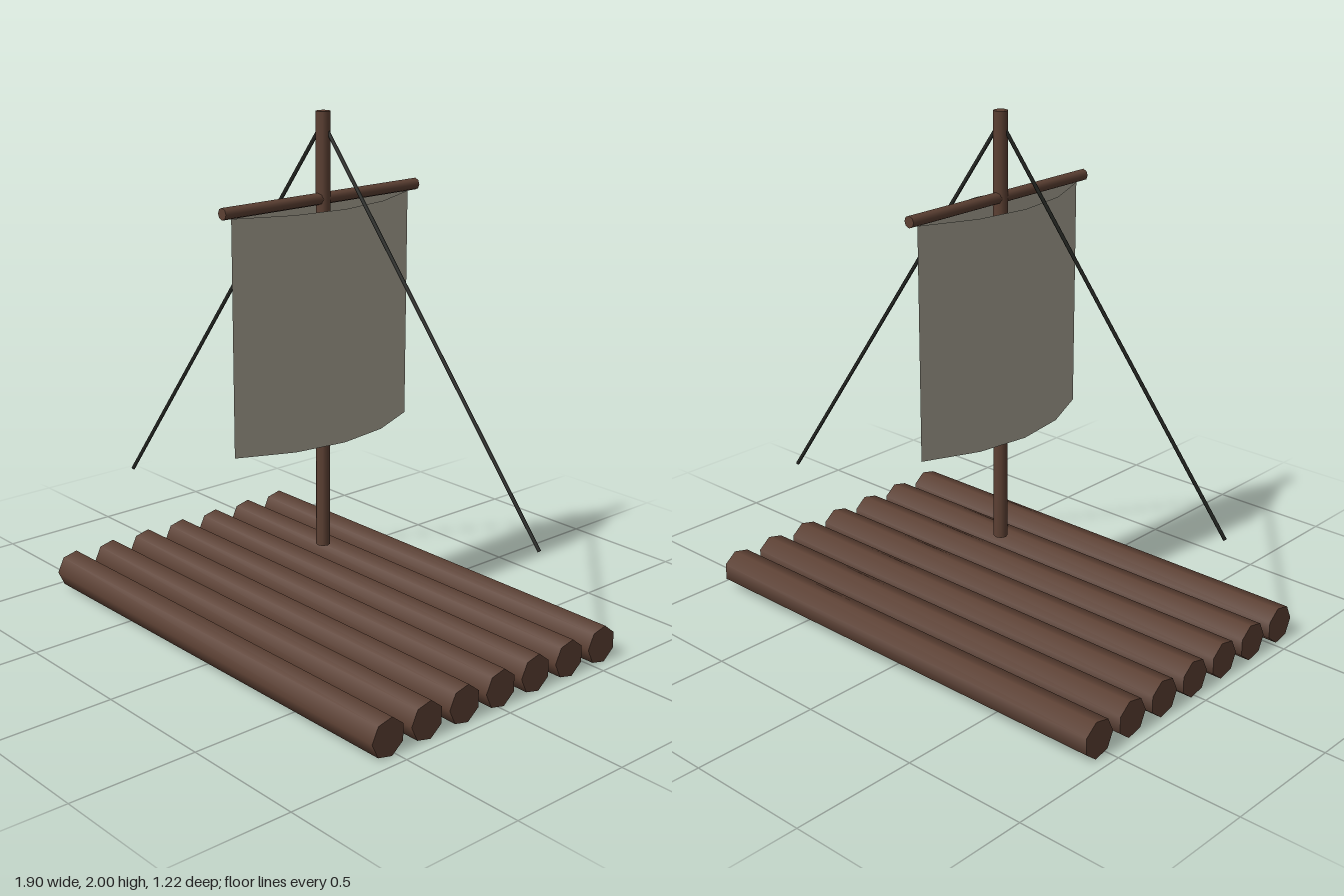
import * as THREE from 'three';

const wood = new THREE.MeshStandardMaterial({ color: 0x5c4033 });
const ropeMat = new THREE.MeshStandardMaterial({ color: 0x222420 });
const cloth = new THREE.MeshStandardMaterial({ color: 0xa8a494, side: THREE.DoubleSide });

// Round bar between two points
function bar(name, a, b, radius, sides, material) {
  const from = new THREE.Vector3(...a), to = new THREE.Vector3(...b);
  const dir = to.clone().sub(from);
  const mesh = new THREE.Mesh(new THREE.CylinderGeometry(radius, radius, dir.length(), sides), material);
  mesh.position.copy(from).add(to).multiplyScalar(0.5);
  mesh.quaternion.setFromUnitVectors(new THREE.Vector3(0, 1, 0), dir.normalize());
  mesh.name = name;
  return mesh;
}

// Sail sheet bulging to one side, its side edges meeting in the mast plane
function sailSheet(side) {
  const halfWidth = 0.425, bulge = 0.125;
  const geo = new THREE.PlaneGeometry(halfWidth * 2, 0.885, 4, 1);
  const pos = geo.attributes.position;
  for (let i = 0; i < pos.count; i++) {
    const t = pos.getX(i) / halfWidth;
    pos.setZ(i, bulge * (1 - t * t));
  }
  geo.rotateY(side * Math.PI / 2);
  const mesh = new THREE.Mesh(geo, cloth);
  mesh.position.y = 1.2175;
  mesh.name = side > 0 ? 'sailLeft' : 'sailRight';
  return mesh;
}

export function createModel() {
  const raft = new THREE.Group();
  raft.name = 'raft';

  // Deck of seven-sided logs lying along x
  const deck = new THREE.Group();
  deck.name = 'deck';
  const logGeo = new THREE.CylinderGeometry(0.0744, 0.0744, 1.9, 7).rotateZ(Math.PI / 2);
  for (let i = -3; i <= 3; i++) {
    const log = new THREE.Mesh(logGeo, wood);
    log.position.set(0, 0.0725, i * 0.18 - 0.0035);
    log.name = 'log';
    deck.add(log);
  }
  raft.add(deck);

  // Mast and the spar carrying the sail
  raft.add(bar('mast', [0, 0.33, 0], [0, 2, 0], 0.027, 8, wood));
  raft.add(bar('spar', [0, 1.682, -0.465], [0, 1.682, 0.465], 0.0225, 8, wood));

  // Sail sheets and stay ropes, mirrored across the mast
  for (const s of [1, -1]) {
    raft.add(sailSheet(s));
    raft.add(bar(s > 0 ? 'ropeLeft' : 'ropeRight', [0, 1.96, 0], [s * 0.845, 0.48, s * -0.297], 0.0075, 5, ropeMat));
  }
  return raft;
}
